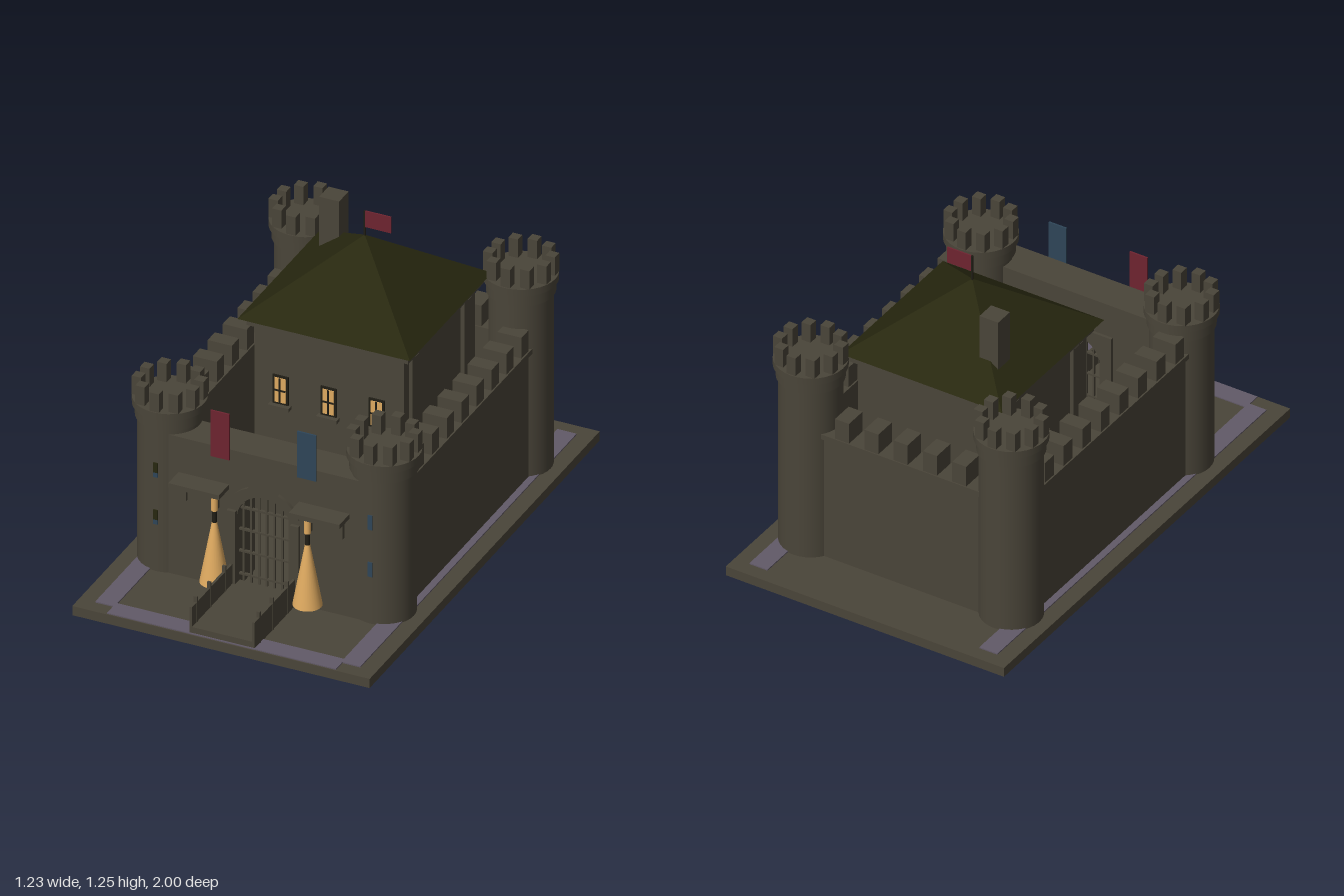
import * as THREE from 'three';

const mat = (name, color, side = THREE.FrontSide) => {
  const m = new THREE.MeshStandardMaterial({ color, side });
  m.name = name;
  return m;
};

export function createModel() {
  const stone = mat('stone', 0x4a4539);
  const roofMat = mat('roof', 0x27270f);
  const path = mat('path', 0x625a68);
  const red = mat('red cloth', 0x6e2430);
  const blue = mat('blue cloth', 0x2e4558);
  const glow = mat('warm light', 0xdfaa60, THREE.DoubleSide);
  const dark = mat('dark trim', 0x201e16);

  const castle = new THREE.Group();
  castle.name = 'castle';

  const add = (parent, name, geo, material, x = 0, y = 0, z = 0) => {
    const m = new THREE.Mesh(geo, material);
    m.name = name;
    m.position.set(x, y, z);
    parent.add(m);
    return m;
  };
  // Box given by its minimum and maximum corners
  const box = (name, material, x0, x1, y0, y1, z0, z1, parent = castle) =>
    add(parent, name, new THREE.BoxGeometry(x1 - x0, y1 - y0, z1 - z0), material,
      (x0 + x1) / 2, (y0 + y1) / 2, (z0 + z1) / 2);
  const cyl = (name, material, r0, r1, y0, y1, x, z, parent = castle, open = false) =>
    add(parent, name, new THREE.CylinderGeometry(r1, r0, y1 - y0, 32, 1, open), material, x, (y0 + y1) / 2, z);

  // Ground slab and paths
  box('base', stone, -0.617, 0.617, 0, 0.04, -1, 1);
  for (const s of [-1, 1]) box('sidePath', path, s * 0.51 - 0.04, s * 0.51 + 0.04, 0.04, 0.045, -0.94, 0.94);
  box('frontPath', path, -0.475, 0.475, 0.04, 0.0445, 0.915, 0.995);

  // Round corner towers with ten merlons each
  const tower = (x, z, top) => {
    const g = new THREE.Group();
    g.name = 'tower';
    g.position.set(x, 0, z);
    castle.add(g);
    cyl('shaft', stone, 0.123, 0.123, 0.04, top - 0.08, 0, 0, g);
    cyl('corbel', stone, 0.132, 0.132, top - 0.08, top - 0.03, 0, 0, g);
    cyl('parapet', stone, 0.143, 0.143, top - 0.03, top, 0, 0, g);
    for (let i = 0; i < 10; i++) {
      const a = i * Math.PI / 5, mx = 0.118 * Math.sin(a), mz = 0.118 * Math.cos(a);
      box('merlon', stone, mx - 0.0195, mx + 0.0195, top, top + 0.08, mz - 0.0195, mz + 0.0195, g);
    }
    return g;
  };
  for (const s of [-1, 1]) {
    tower(s * 0.445, -0.677, 0.873);
    const front = tower(s * 0.445, 0.512, 0.743);
    // Arrow slits
    for (const y of [0.245, 0.45]) {
      box('arrowSlit', s < 0 ? roofMat : blue, -0.009, 0.009, y + 0.02, y + 0.063, 0.119, 0.126, front);
      box('arrowSlitBase', blue, -0.009, 0.009, y, y + 0.02, 0.119, 0.126, front);
    }
  }

  // Side curtain walls
  for (const s of [-1, 1]) {
    const side = new THREE.Group();
    side.name = 'sideWall';
    side.position.x = s * 0.477;
    castle.add(side);
    box('wall', stone, -0.045, 0.045, 0.04, 0.578, -0.6, 0.44, side);
    box('wallCap', stone, -0.056, 0.056, 0.578, 0.6, -0.6, 0.44, side);
    for (let i = 0; i < 8; i++) {
      const z = 0.37 - i * 0.13;
      box('merlon', stone, -0.05, 0.05, 0.6, 0.69, z - 0.031, z + 0.031, side);
    }
  }

  // Back curtain wall
  box('backWall', stone, -0.36, 0.36, 0.04, 0.578, -0.745, -0.66);
  box('backWallCap', stone, -0.36, 0.36, 0.578, 0.6, -0.755, -0.65);
  for (let i = -2; i <= 2; i++) box('merlon', stone, i * 0.13 - 0.031, i * 0.13 + 0.031, 0.6, 0.69, -0.75, -0.655);

  // Front wall with an arched gateway
  const arch = (r, spring, bottom) => {
    const p = new THREE.Path();
    p.moveTo(-r, bottom);
    p.lineTo(r, bottom);
    p.lineTo(r, spring);
    p.absarc(0, spring, r, 0, Math.PI, false);
    p.lineTo(-r, bottom);
    return p;
  };
  const rect = (x, y0, y1) => new THREE.Shape([[-x, y0], [x, y0], [x, y1], [-x, y1]].map(p => new THREE.Vector2(...p)));
  const extrude = (shape, depth) => new THREE.ExtrudeGeometry(shape, { depth, bevelEnabled: false, curveSegments: 20 });
  const wall = rect(0.41, 0.04, 0.643);
  wall.holes.push(arch(0.113, 0.352, 0.042));
  add(castle, 'frontWall', extrude(wall, 0.145), stone, 0, 0, 0.48);
  const inner = rect(0.16, 0.04, 0.5);
  inner.holes.push(arch(0.113, 0.352, 0.042));
  add(castle, 'innerGateFrame', extrude(inner, 0.012), stone, 0, 0, 0.468);

  for (const s of [-1, 1]) {
    // Gate jambs and curved spandrels
    box('gateJamb', stone, s * 0.131 - 0.018, s * 0.131 + 0.018, 0.04, 0.385, 0.61, 0.64);
    const sp = new THREE.Shape();
    const a0 = Math.acos(0.15 / 0.163), a1 = Math.asin(0.15 / 0.163);
    if (s > 0) {
      sp.moveTo(0.15, 0.5);
      sp.absarc(0, 0.35, 0.163, a1, a0, true);
    } else {
      sp.moveTo(-0.15, 0.5);
      sp.absarc(0, 0.35, 0.163, Math.PI - a0, Math.PI - a1, true);
    }
    add(castle, 'archSpandrel', extrude(sp, 0.03), stone, 0, 0, 0.61);

    // Awning with brackets
    box('awning', stone, s * 0.25 - 0.105, s * 0.25 + 0.105, 0.47, 0.49, 0.62, 0.715);
    for (const x of [0.325, 0.193]) {
      box('awningBracket', stone, s * x - 0.008, s * x + 0.008, 0.38, 0.47, 0.622, 0.64);
    }

    // Lantern with its cone of light
    cyl('lanternStem', dark, 0.009, 0.009, 0.32, 0.385, s * 0.193, 0.652);
    cyl('lanternFlame', glow, 0.013, 0.013, 0.38, 0.435, s * 0.193, 0.652);
    cyl('lightCone', glow, 0.057, 0.01, 0.07, 0.33, s * 0.193, 0.652, castle, true);

    // Hanging banner
    box('banner', s < 0 ? red : blue, s * 0.18 - 0.039, s * 0.18 + 0.039, 0.6, 0.8, 0.627, 0.634);

    // Bridge railing and posts
    box('bridgeRail', stone, s * 0.13 - 0.005, s * 0.13 + 0.005, 0.04, 0.155, 0.62, 0.99);
    for (const z of [0.7, 0.83, 0.945]) {
      box('railPost', stone, s * 0.13 - 0.007, s * 0.13 + 0.007, 0.04, 0.18, z - 0.005, z + 0.005);
    }
  }
  box('bridgeDeck', stone, -0.13, 0.13, 0.04, 0.07, 0.6, 0.99);

  // Portcullis
  for (let i = -3; i <= 3; i++) {
    const x = i * 0.032;
    const top = 0.352 + Math.sqrt(0.113 ** 2 - x * x);
    box('portcullisBar', stone, x - 0.004, x + 0.004, 0.07, top, 0.596, 0.604);
  }
  for (const y of [0.1, 0.2, 0.295, 0.39]) {
    const w = y > 0.352 ? Math.sqrt(0.113 ** 2 - (y - 0.352) ** 2) : 0.113;
    box('portcullisRail', stone, -w, w, y - 0.004, y + 0.004, 0.594, 0.606);
  }

  // Keep with cornice and pilasters
  box('keep', stone, -0.31, 0.31, 0.04, 0.845, -0.56, 0.06);
  box('cornice', stone, -0.335, 0.335, 0.84, 0.878, -0.585, 0.075);
  for (const s of [-1, 1]) {
    for (const z of [-0.02, -0.47]) {
      box('pilaster', stone, s * 0.315 - 0.01, s * 0.315 + 0.01, 0.04, 0.825, z - 0.035, z + 0.035);
    }
  }

  // Lit windows with frame, cross bars and sill
  for (const x of [-0.2, 0, 0.2]) {
    for (const y of [0.295, 0.585]) {
      const g = new THREE.Group();
      g.name = 'window';
      g.position.set(x, y, 0.06);
      castle.add(g);
      box('frame', dark, -0.033, 0.033, -0.062, 0.062, 0, 0.006, g);
      box('pane', glow, -0.023, 0.023, -0.053, 0.053, 0.006, 0.009, g);
      box('mullion', dark, -0.003, 0.003, -0.053, 0.053, 0.009, 0.013, g);
      box('crossBar', dark, -0.023, 0.023, -0.003, 0.003, 0.009, 0.013, g);
      box('sill', stone, -0.043, 0.043, -0.077, -0.062, 0, 0.025, g);
    }
  }

  // Pyramid roof, chimney and flag
  const roof = new THREE.ConeGeometry(0.358 * Math.SQRT2, 0.267, 4).rotateY(Math.PI / 4).toNonIndexed();
  roof.computeVertexNormals();
  add(castle, 'roof', roof, roofMat, 0, 0.878 + 0.1335, -0.25);
  box('chimney', stone, -0.255, -0.172, 0.88, 1.17, -0.47, -0.388);
  cyl('flagPole', dark, 0.004, 0.004, 1.13, 1.25, 0, -0.25);
  box('flag', red, 0.003, 0.11, 1.18, 1.25, -0.253, -0.247);

  return castle;
}
